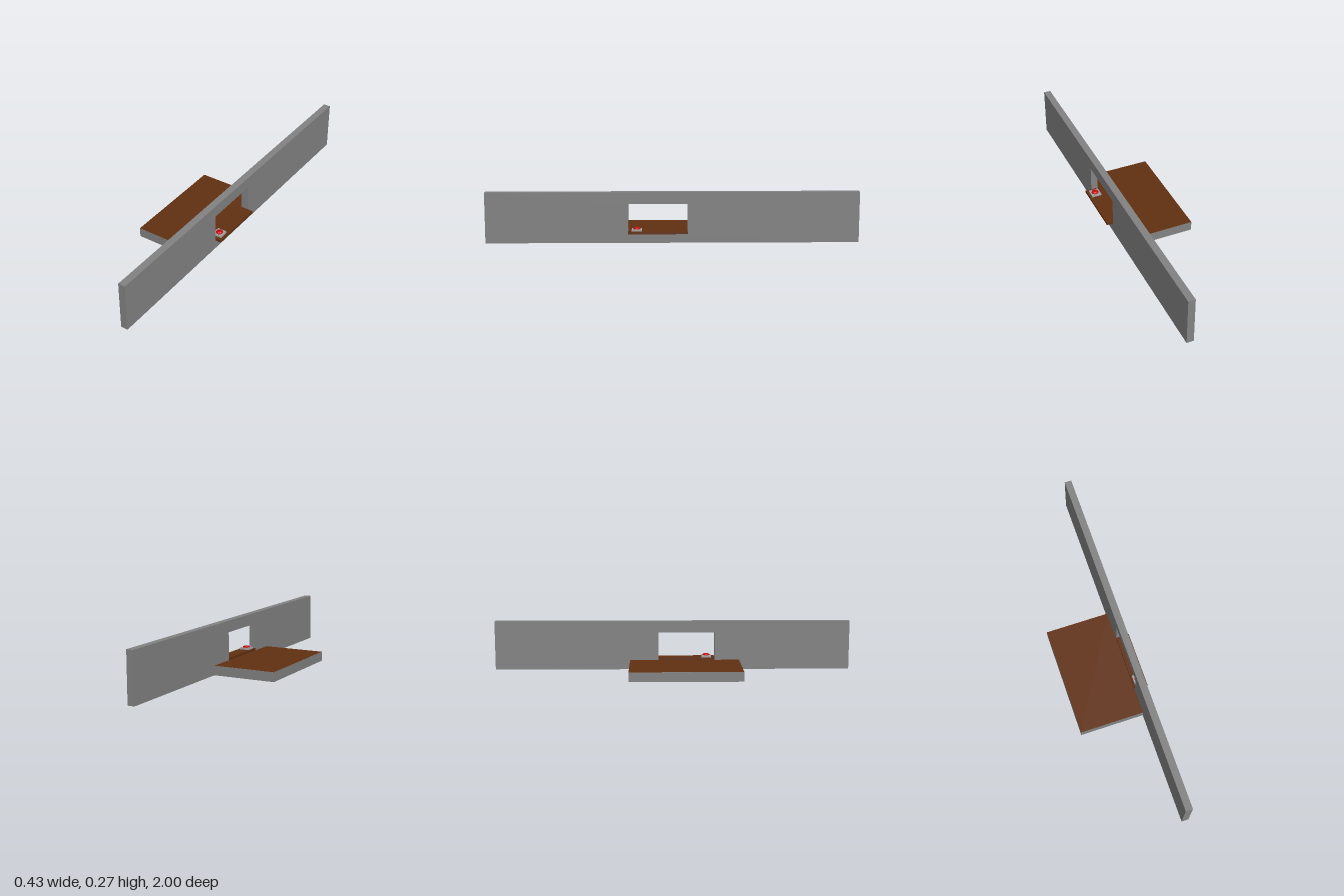
import * as THREE from 'three';

const material = (color) => new THREE.MeshStandardMaterial({ color, flatShading: true });
const darkGrey = material(0x838383);
const lightGrey = material(0xa5a5a5);
const brown = material(0x613011);
const red = material(0xc80a0f);

// Box given by its lower and upper corner
function box(name, mat, [x0, y0, z0], [x1, y1, z1]) {
  const mesh = new THREE.Mesh(new THREE.BoxGeometry(x1 - x0, y1 - y0, z1 - z0), mat);
  mesh.position.set((x0 + x1) / 2, (y0 + y1) / 2, (z0 + z1) / 2);
  mesh.name = name;
  return mesh;
}

function rectangle(path, x0, y0, x1, y1) {
  return path.moveTo(x0, y0).lineTo(x1, y0).lineTo(x1, y1).lineTo(x0, y1).closePath();
}

export function createModel() {
  const model = new THREE.Group();
  model.name = 'serviceWindow';

  // Long wall with a window opening, drawn in z and y, extruded along x
  const outline = rectangle(new THREE.Shape(), -1, 0, 1, 0.274);
  outline.holes.push(rectangle(new THREE.Path(), -0.08, 0.053, 0.237, 0.21));
  const wallGeometry = new THREE.ExtrudeGeometry(outline, { depth: 0.039, bevelEnabled: false });
  wallGeometry.rotateY(-Math.PI / 2).translate(0.181, 0, 0);
  const wall = new THREE.Mesh(wallGeometry, darkGrey);
  wall.name = 'wall';
  model.add(wall);

  // Platform behind the window, with a wooden floor on top
  model.add(box('platform', darkGrey, [-0.216, 0, -0.24], [0.142, 0.0525, 0.377]));
  const floor = new THREE.Mesh(new THREE.PlaneGeometry(0.358, 0.617), brown);
  floor.rotation.x = -Math.PI / 2;
  floor.position.set(-0.037, 0.053, 0.0685);
  floor.name = 'platformFloor';
  model.add(floor);

  // Counter through the opening
  model.add(box('counter', brown, [0.142, 0.053, -0.08], [0.216, 0.066, 0.237]));

  // Push button on the counter
  const button = new THREE.Group();
  button.name = 'button';
  button.add(box('buttonBase', lightGrey, [0.15, 0.066, 0.164], [0.204, 0.076, 0.218]));
  const profile = [[0.02, 0], [0.019, 0.005], [0.012, 0.009], [0, 0.01]];
  const cap = new THREE.Mesh(
    new THREE.LatheGeometry(profile.map(([r, y]) => new THREE.Vector2(r, y)), 10), red);
  cap.position.set(0.177, 0.076, 0.191);
  cap.name = 'buttonCap';
  button.add(cap);
  model.add(button);

  return model;
}
